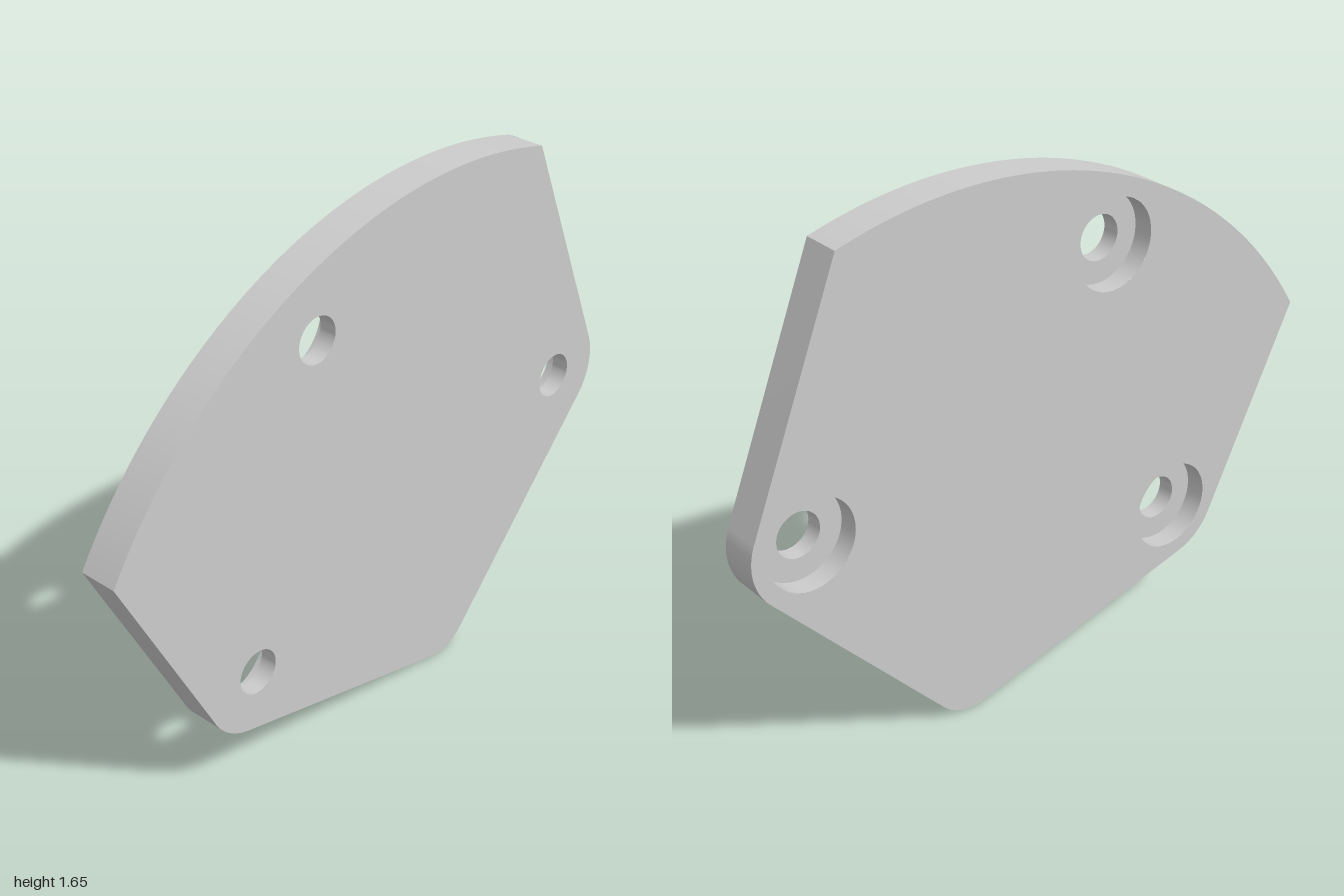
import * as THREE from 'three';
import { toCreasedNormals } from 'three/addons/utils/BufferGeometryUtils.js';

const HALF = 0.06;          // half the plate thickness
const HOLE_R = 0.07;        // through hole
const BORE_R = 0.14;        // counterbore, open at the back
const LEDGE_Z = 0.005;      // floor of the counterbore
const HOLES = [[-0.25, 1.34], [0.81, 0.785], [-0.51, 0.385]];

// Rounded corners; the two sharp ends of the top arc have radius 0
const topLeft = { x: -1, y: 0.93, r: 0 };
const left = { x: -0.51, y: 0.385, r: 0.19 };
const bottom = { x: 0.28, y: 0.15, r: 0.15 };
const right = { x: 0.81, y: 0.785, r: 0.19 };
const topRight = { x: 0.69, y: 1.593, r: 0 };
const crown = { x: 0.28, y: 0.15, r: 1.5 };

// Outward normal angle of the straight edge touching two corner circles
function edgeAngle(a, b) {
  const dx = b.x - a.x, dy = b.y - a.y;
  return Math.atan2(dy, dx) - Math.acos((a.r - b.r) / Math.hypot(dx, dy));
}

function outline(holeRadius) {
  const shape = new THREE.Shape();
  shape.moveTo(topLeft.x, topLeft.y);
  const corners = [topLeft, left, bottom, right, topRight];
  for (let i = 1; i < 4; i++) {
    const c = corners[i];
    shape.absarc(c.x, c.y, c.r, edgeAngle(corners[i - 1], c), edgeAngle(c, corners[i + 1]), false);
  }
  shape.lineTo(topRight.x, topRight.y);
  const angleTo = (p) => Math.atan2(p.y - crown.y, p.x - crown.x);
  shape.absarc(crown.x, crown.y, crown.r, angleTo(topRight), angleTo(topLeft), false);
  if (holeRadius) {
    for (const [x, y] of HOLES) {
      shape.holes.push(new THREE.Path().absarc(x, y, holeRadius, 0, Math.PI * 2, true));
    }
  }
  return shape;
}

export function createModel() {
  const group = new THREE.Group();
  group.name = 'mountingPlate';
  const material = new THREE.MeshStandardMaterial({ color: 0xcccccc });
  const add = (name, geometry) => {
    const mesh = new THREE.Mesh(geometry, material);
    mesh.name = name;
    group.add(mesh);
    return mesh;
  };

  // Front face with the small holes
  add('frontFace', new THREE.ShapeGeometry(outline(HOLE_R), 48).translate(0, 0, HALF));

  // Back face with the wide holes, wound the other way
  const back = new THREE.ShapeGeometry(outline(BORE_R), 48).translate(0, 0, -HALF);
  back.index.array.reverse();
  back.computeVertexNormals();
  add('backFace', back);

  // Outer rim: only the side walls of an extrusion
  const solid = new THREE.ExtrudeGeometry(outline(0), { depth: HALF * 2, bevelEnabled: false, curveSegments: 48 });
  const side = solid.groups[1];
  const rim = new THREE.BufferGeometry();
  rim.setAttribute('position', new THREE.BufferAttribute(
    solid.attributes.position.array.slice(side.start * 3, (side.start + side.count) * 3), 3));
  rim.translate(0, 0, -HALF);
  add('outerRim', toCreasedNormals(rim, 0.35));

  // Stepped hole walls
  const profile = [[HOLE_R, HALF], [HOLE_R, LEDGE_Z], [BORE_R, LEDGE_Z], [BORE_R, -HALF]];
  const bore = toCreasedNormals(
    new THREE.LatheGeometry(profile.map(([r, z]) => new THREE.Vector2(r, z)), 48).rotateX(Math.PI / 2), 0.5);
  for (const [x, y] of HOLES) add('counterboredHole', bore).position.set(x, y, 0);

  return group;
}
